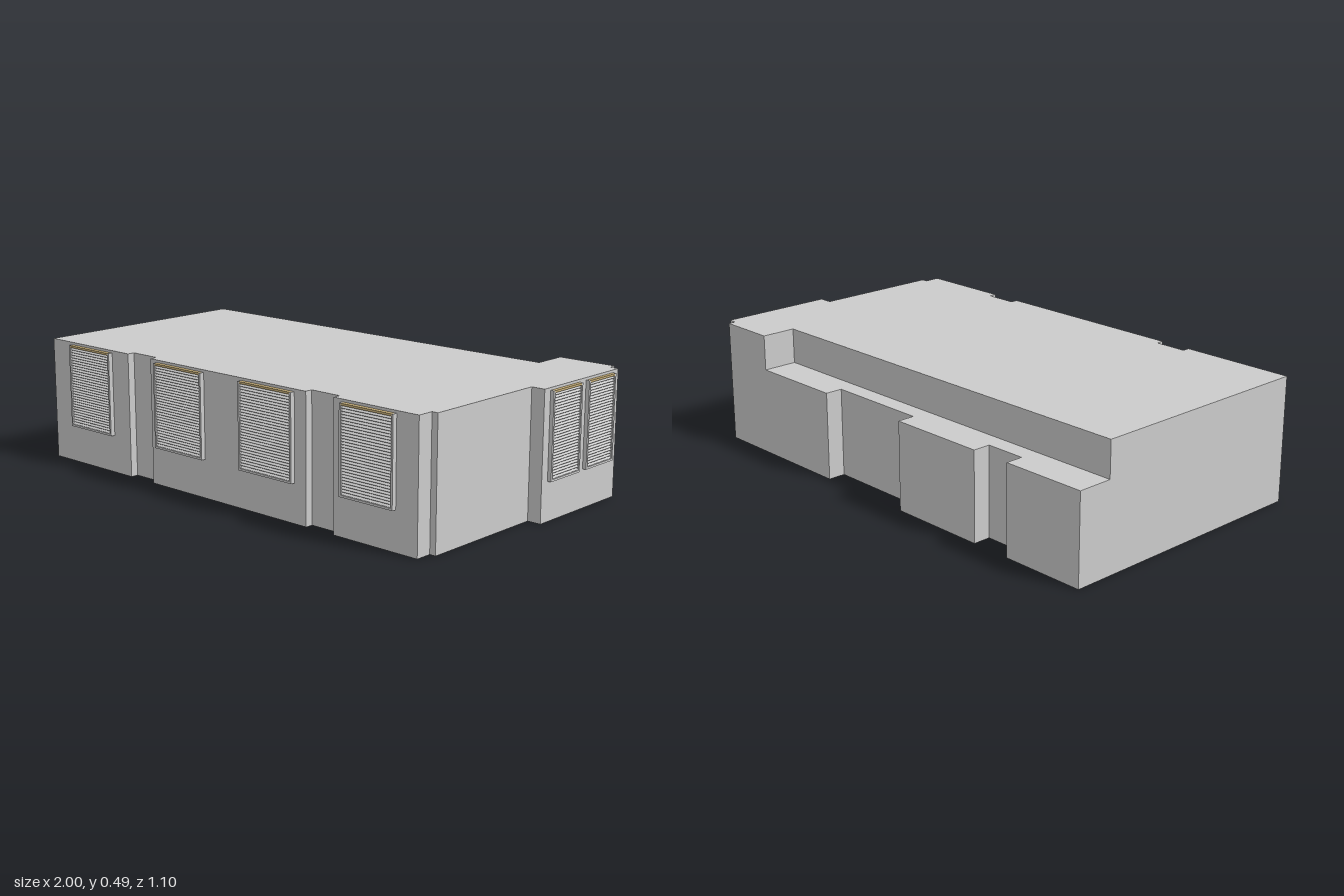
import * as THREE from 'three';

const HEIGHT = 0.49, LEDGE = 0.35;
const grey = new THREE.MeshStandardMaterial({ color: 0xcccccc, flatShading: true });
const tan = new THREE.MeshStandardMaterial({ color: 0xc8b07a, flatShading: true });

// Plan outlines as [x, z]
const sides = [
  [0.95, -0.55], [0.95, -0.52], [0.985, -0.52], [0.985, -0.055], [0.93, -0.055],
  [0.93, 0.465], [0.905, 0.465], [0.905, 0.53], [0.53, 0.53], [0.53, 0.5],
  [0.4, 0.5], [0.4, 0.53], [-0.41, 0.53], [-0.41, 0.5], [-0.54, 0.5], [-0.54, 0.53], [-1, 0.53],
];
const lowerBack = [
  [-1, -0.55], [-0.66, -0.55], [-0.66, -0.48], [-0.5, -0.48], [-0.5, -0.55],
  [-0.1, -0.55], [-0.1, -0.48], [0.32, -0.48], [0.32, -0.55],
];
const upperBack = [[-1, -0.41], [0.71, -0.41], [0.71, -0.55]];

function storey(name, outline, y0, y1) {
  const shape = new THREE.Shape(outline.map(([x, z]) => new THREE.Vector2(x, -z)));
  const geo = new THREE.ExtrudeGeometry(shape, { depth: y1 - y0, bevelEnabled: false });
  geo.rotateX(-Math.PI / 2);
  geo.translate(0, y0, 0);
  const mesh = new THREE.Mesh(geo, grey);
  mesh.name = name;
  return mesh;
}

function box(name, w, h, d, x, y, z, material = grey) {
  const mesh = new THREE.Mesh(new THREE.BoxGeometry(w, h, d), material);
  mesh.name = name;
  mesh.position.set(x, y, z);
  return mesh;
}

// Framed louvre facing +z, standing on its origin against the wall
function louvre(name, width, depth) {
  const g = new THREE.Group();
  g.name = name;
  const h = 0.33, t = 0.008, slats = 30;
  for (const s of [-1, 1]) {
    g.add(box('louvreFrameSide', t, h, depth, s * (width - t) / 2, h / 2, depth / 2));
  }
  g.add(box('louvreFrameBottom', width - 2 * t, t, depth, 0, t / 2, depth / 2));
  g.add(box('louvreFrameTop', width - 2 * t, t, depth, 0, h - t / 2, depth / 2, tan));
  const pitch = (h - 2 * t) / slats;
  for (let i = 0; i < slats; i++) {
    const slat = box('louvreSlat', width - 2 * t, 0.002, depth * 0.85, 0, t + pitch * (i + 0.5), depth / 2);
    slat.rotation.x = 0.6;
    g.add(slat);
  }
  return g;
}

export function createModel() {
  const model = new THREE.Group();
  model.name = 'building';

  // Main block, with a ledge along the back
  model.add(storey('lowerWalls', [...lowerBack, ...sides], 0, LEDGE));
  model.add(storey('upperWalls', [...upperBack, ...sides], LEDGE, HEIGHT));

  // Front louvres
  for (const [a, b] of [[-0.88, -0.635], [-0.375, -0.115], [0.08, 0.345], [0.57, 0.81]]) {
    const l = louvre('frontLouvre', b - a, 0.018);
    l.position.set((a + b) / 2, 0.15, 0.53);
    model.add(l);
  }

  // Louvres on the +x end
  for (const [a, b] of [[-0.27, -0.09], [-0.485, -0.31]]) {
    const l = louvre('sideLouvre', b - a, 0.015);
    l.rotation.y = Math.PI / 2;
    l.position.set(0.985, 0.15, (a + b) / 2);
    model.add(l);
  }
  return model;
}
